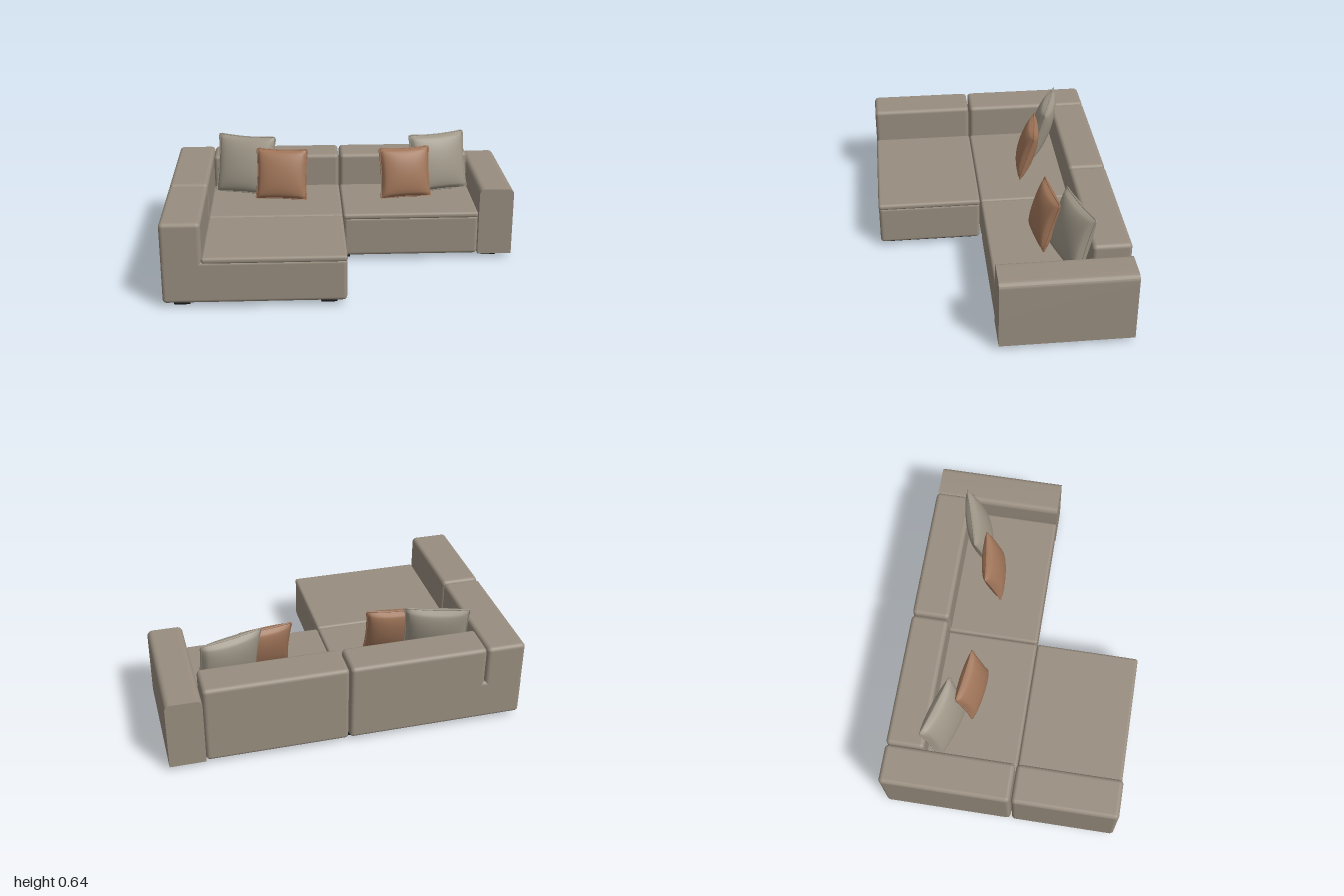
import * as THREE from 'three';
import { RoundedBoxGeometry } from 'three/addons/geometries/RoundedBoxGeometry.js';
import { toCreasedNormals } from 'three/addons/utils/BufferGeometryUtils.js';

const material = (name, color) => {
  const m = new THREE.MeshStandardMaterial({ color });
  m.name = name;
  return m;
};

export function createModel() {
  const fabric = material('taupe fabric', 0x988d7f);
  const greyCloth = material('grey cushion cloth', 0x9e9687);
  const rustCloth = material('rust cushion cloth', 0xa07559);
  const black = material('black base', 0x19191a);

  const model = new THREE.Group();
  model.name = 'cornerSofa';

  // Rounded block between two corners
  function block(parent, name, [x0, x1], [y0, y1], [z0, z1], radius, mat = fabric) {
    const geo = new RoundedBoxGeometry(x1 - x0, y1 - y0, z1 - z0, 4, radius);
    const mesh = new THREE.Mesh(geo, mat);
    mesh.name = name;
    mesh.position.set((x0 + x1) / 2, (y0 + y1) / 2, (z0 + z1) / 2);
    parent.add(mesh);
  }

  function section(name) {
    const g = new THREE.Group();
    g.name = name;
    model.add(g);
    return g;
  }

  // Corner section: base, tall arm, backrest and seat
  const corner = section('cornerSection');
  block(corner, 'base', [-1, -0.004], [0.03, 0.272], [-0.668, 0.061], 0.022);
  block(corner, 'arm', [-1, -0.779], [0.03, 0.492], [-0.668, 0.061], 0.024);
  block(corner, 'backrest', [-0.777, -0.004], [0.03, 0.492], [-0.668, -0.453], 0.024);
  block(corner, 'seatCushion', [-0.785, -0.002], [0.258, 0.294], [-0.47, 0.064], 0.016);

  // Straight section: base, backrest and seat
  const straight = section('straightSection');
  block(straight, 'base', [0.004, 0.797], [0.03, 0.272], [-0.668, 0.061], 0.022);
  block(straight, 'backrest', [0.004, 0.797], [0.03, 0.492], [-0.668, -0.453], 0.024);
  block(straight, 'seatCushion', [0.002, 0.797], [0.258, 0.294], [-0.47, 0.064], 0.016);

  // Chaise section: base, arm and seat
  const chaise = section('chaiseSection');
  block(chaise, 'base', [-1, -0.004], [0.03, 0.272], [0.069, 0.663], 0.022);
  block(chaise, 'arm', [-1, -0.779], [0.03, 0.492], [0.069, 0.663], 0.024);
  block(chaise, 'seatCushion', [-0.785, -0.002], [0.258, 0.294], [0.067, 0.665], 0.016);

  // Low arm: square ends, rounded along the top only
  const w = 0.1, h = 0.405, r = 0.032;
  const profile = new THREE.Shape();
  profile.moveTo(-w, 0);
  profile.lineTo(w, 0);
  profile.lineTo(w, h - r);
  profile.absarc(w - r, h - r, r, 0, Math.PI / 2);
  profile.absarc(-w + r, h - r, r, Math.PI / 2, Math.PI);
  profile.closePath();
  const armGeo = new THREE.ExtrudeGeometry(profile, { depth: 0.732, bevelEnabled: false, curveSegments: 8 });
  const lowArm = new THREE.Mesh(toCreasedNormals(armGeo, 0.6), fabric);
  lowArm.name = 'lowArm';
  lowArm.position.set(0.9, 0.03, -0.669);
  model.add(lowArm);

  // Underside panels and feet
  const under = section('underside');
  block(under, 'mainPanel', [-0.93, 0.78], [0.013, 0.036], [-0.467, -0.04], 0.002, black);
  block(under, 'chaisePanel', [-0.95, -0.04], [0.013, 0.036], [0.12, 0.61], 0.002, black);
  const feet = [
    [-0.9, -0.585], [0, -0.585], [0.875, -0.585],
    [-0.9, -0.015], [0, -0.015], [0.875, -0.015],
    [-0.9, 0.588], [-0.1, 0.588],
  ];
  for (const [x, z] of feet) {
    block(under, 'foot', [x - 0.045, x + 0.045], [0, 0.034], [z - 0.024, z + 0.024], 0.006, black);
  }

  // Pillow outline: slightly hollow sides and soft corners
  const outline = (u, v, size) => [
    u * size / 2 * (1 - 0.06 * (1 - v * v) * Math.abs(u)) * (1 - 0.025 * (u * v) ** 8),
    v * size / 2 * (1 - 0.06 * (1 - u * u) * Math.abs(v)) * (1 - 0.025 * (u * v) ** 8),
  ];

  function pillow(name, mat, size, depth, position, yaw, pitch) {
    const g = section(name);
    for (const side of [1, -1]) {
      const geo = new THREE.PlaneGeometry(2, 2, 24, 24);
      const p = geo.attributes.position;
      for (let i = 0; i < p.count; i++) {
        const u = p.getX(i), v = p.getY(i);
        const puff = Math.pow(Math.max(0, (1 - u * u) * (1 - v * v)), 0.42);
        const [x, y] = outline(u, v, size);
        p.setXYZ(i, x * side, y, side * depth / 2 * puff);
      }
      geo.computeVertexNormals();
      const half = new THREE.Mesh(geo, mat);
      half.name = side > 0 ? 'frontCover' : 'backCover';
      g.add(half);
    }
    // Seam piping around the edge
    const points = [];
    const corners = [[-1, -1], [1, -1], [1, 1], [-1, 1]];
    corners.forEach(([u, v], i) => {
      const [u2, v2] = corners[(i + 1) % 4];
      for (let k = 0; k < 8; k++) {
        const t = k / 8;
        const [x, y] = outline(u + (u2 - u) * t, v + (v2 - v) * t, size);
        points.push(new THREE.Vector3(x, y, 0));
      }
    });
    const seam = new THREE.CatmullRomCurve3(points, true);
    const piping = new THREE.Mesh(new THREE.TubeGeometry(seam, 96, 0.005, 6, true), mat);
    piping.name = 'piping';
    g.add(piping);
    g.position.set(...position);
    g.rotation.set(-pitch, yaw, 0, 'YXZ');
  }

  // Mirrored pairs of pillows leaning on the backrests
  pillow('greyPillowRight', greyCloth, 0.36, 0.125, [-0.577, 0.463, -0.375], -0.29, 0.26);
  pillow('greyPillowLeft', greyCloth, 0.36, 0.125, [0.606, 0.463, -0.375], 0.29, 0.26);
  pillow('rustPillowRight', rustCloth, 0.308, 0.11, [-0.357, 0.438, -0.255], -0.13, 0.28);
  pillow('rustPillowLeft', rustCloth, 0.308, 0.11, [0.39, 0.438, -0.255], 0.13, 0.28);

  return model;
}
